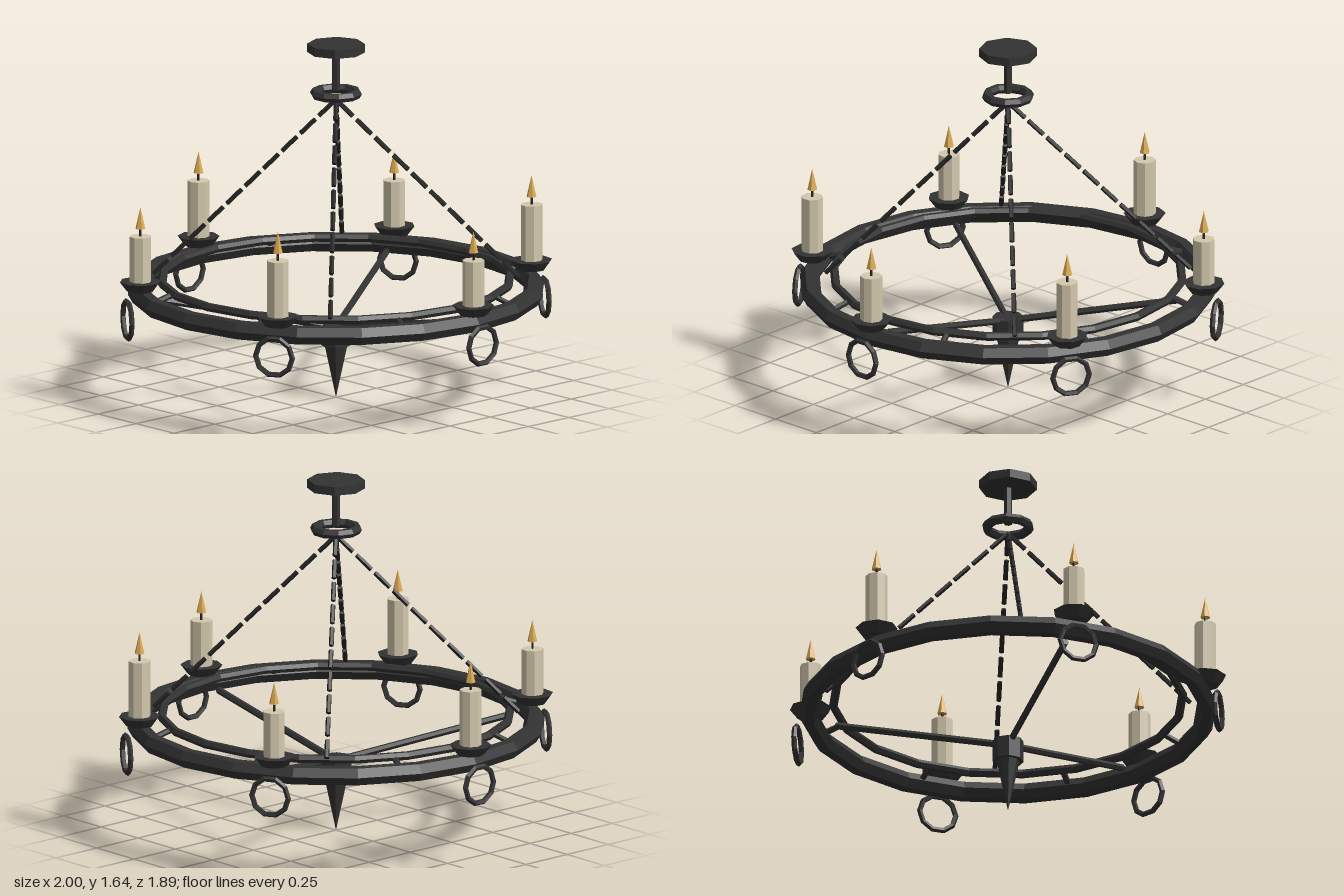
import * as THREE from 'three';

export function createModel() {
  const model = new THREE.Group();
  model.name = 'chandelier';

  const mat = (name, color) => {
    const m = new THREE.MeshStandardMaterial({ color, flatShading: true });
    m.name = name;
    return m;
  };
  const iron = mat('iron', 0x333333);
  const darkIron = mat('dark iron', 0x262626);
  const wax = mat('wax', 0xd4c9ae);
  const flameGold = mat('flame gold', 0xdcac54);

  const add = (name, geometry, material, parent = model, x = 0, y = 0, z = 0) => {
    const mesh = new THREE.Mesh(geometry, material);
    mesh.name = name;
    mesh.position.set(x, y, z);
    parent.add(mesh);
    return mesh;
  };
  const polar = (r, y, a) => new THREE.Vector3(r * Math.cos(a), y, r * Math.sin(a));
  const UP = new THREE.Vector3(0, 1, 0);
  // Straight round bar between two points
  const rod = (name, a, b, radius, material, sides = 6) => {
    const d = b.clone().sub(a);
    const mesh = add(name, new THREE.CylinderGeometry(radius, radius, d.length(), sides), material);
    mesh.position.copy(a).add(b).multiplyScalar(0.5);
    mesh.quaternion.setFromUnitVectors(UP, d.normalize());
  };
  const flatRing = (name, R, tube, y, sides, segments) =>
    add(name, new THREE.TorusGeometry(R, tube, sides, segments).rotateX(Math.PI / 2), iron, model, 0, y, 0);

  // Ceiling mount
  add('canopy', new THREE.CylinderGeometry(0.13, 0.13, 0.04, 8), iron, model, 0, 1.62, 0);
  add('stem', new THREE.CylinderGeometry(0.019, 0.019, 0.18, 6), iron, model, 0, 1.515, 0);
  flatRing('chainRing', 0.097, 0.022, 1.41, 6, 10);

  // Two hoops and the short bars joining them
  flatRing('outerHoop', 0.9, 0.045, 0.504, 6, 20);
  flatRing('innerHoop', 0.79, 0.02, 0.55, 6, 20);
  for (let i = 0; i < 8; i++) {
    const a = (i + 0.5) * Math.PI / 4;
    rod('hoopBar', polar(0.785, 0.545, a), polar(0.88, 0.51, a), 0.014, iron);
  }

  // Four chains of straight links
  const links = 10;
  for (let i = 0; i < 4; i++) {
    const a = (i + 0.5) * Math.PI / 2;
    const top = polar(0.01, 1.37, a), bottom = polar(0.84, 0.55, a);
    for (let k = 0; k < links; k++) {
      rod('chainLink', top.clone().lerp(bottom, k / links),
        top.clone().lerp(bottom, (k + 0.8) / links), 0.0115, darkIron, 5);
    }
  }

  // Lower hub, pointed drop and three spokes
  add('hub', new THREE.CylinderGeometry(0.071, 0.071, 0.1, 8), iron, model, 0, 0.295, 0);
  add('drop', new THREE.ConeGeometry(0.053, 0.25, 8).rotateX(Math.PI), iron, model, 0, 0.125, 0);
  for (let i = 0; i < 3; i++) {
    const a = i * Math.PI * 2 / 3;
    rod('spoke', polar(0.02, 0.33, a), polar(0.79, 0.492, a), 0.016, iron);
  }

  // Six candle holders, alternately short and tall
  for (let i = 0; i < 6; i++) {
    const holder = new THREE.Group();
    holder.name = 'candleHolder';
    holder.rotation.y = -i * Math.PI / 3;
    model.add(holder);
    const top = i % 2 ? 0.845 : 0.797;
    const r = 0.905;
    add('dripPan', new THREE.CylinderGeometry(0.095, 0.062, 0.044, 8), iron, holder, r, 0.566, 0);
    add('candle', new THREE.CylinderGeometry(0.05, 0.05, top - 0.58, 8), wax, holder, r, (top + 0.58) / 2, 0);
    add('wick', new THREE.CylinderGeometry(0.006, 0.006, 0.05, 5), darkIron, holder, r, top + 0.02, 0);
    add('flame', new THREE.ConeGeometry(0.023, 0.1, 6), flameGold, holder, r, top + 0.085, 0);
    add('hangingRing', new THREE.TorusGeometry(0.086, 0.013, 5, 10).rotateY(Math.PI / 2),
      iron, holder, 0.965, 0.412, 0);
  }
  return model;
}
